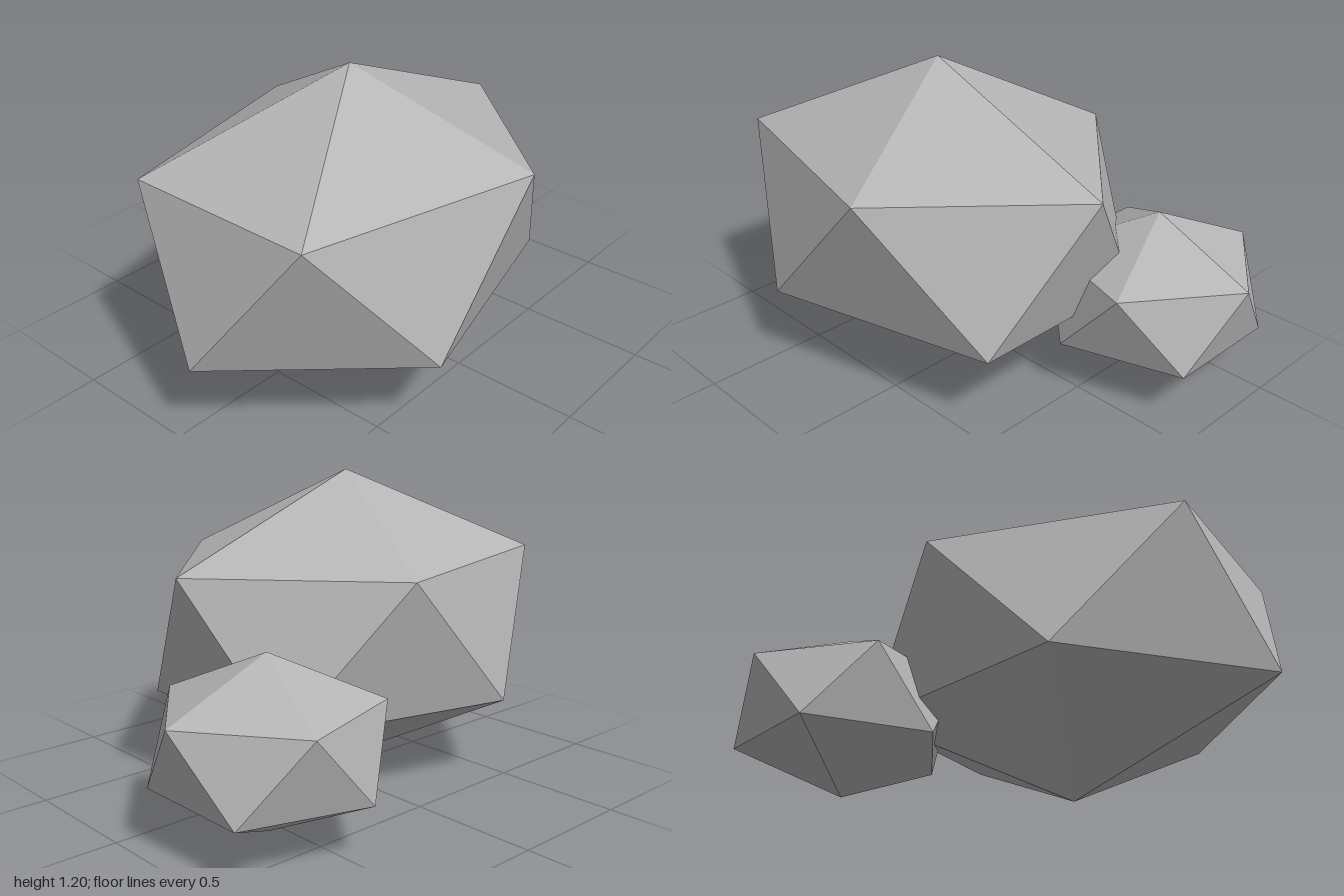
import * as THREE from 'three';

// Low-poly rock: an icosahedron standing on one corner, stretched per axis
function makeRock(name, material, scale, position) {
  const golden = (1 + Math.sqrt(5)) / 2;
  const geometry = new THREE.IcosahedronGeometry(1, 0);
  geometry.rotateZ(-Math.atan(1 / golden)); // one corner up, a ring corner toward +x
  geometry.scale(...scale);
  geometry.computeVertexNormals();
  const rock = new THREE.Mesh(geometry, material);
  rock.name = name;
  rock.position.set(...position);
  return rock;
}

export function createModel() {
  const stone = new THREE.MeshStandardMaterial({ color: 0xb5b5b5, flatShading: true });
  stone.name = 'light stone grey';

  const group = new THREE.Group();
  group.name = 'rocks';
  group.add(
    makeRock('largeRock', stone, [0.924, 0.601, 0.741], [-0.174, 0.601, 0.091]),
    makeRock('smallRock', stone, [0.462, 0.323, 0.461], [0.586, 0.35, -0.329]),
  );
  return group;
}
